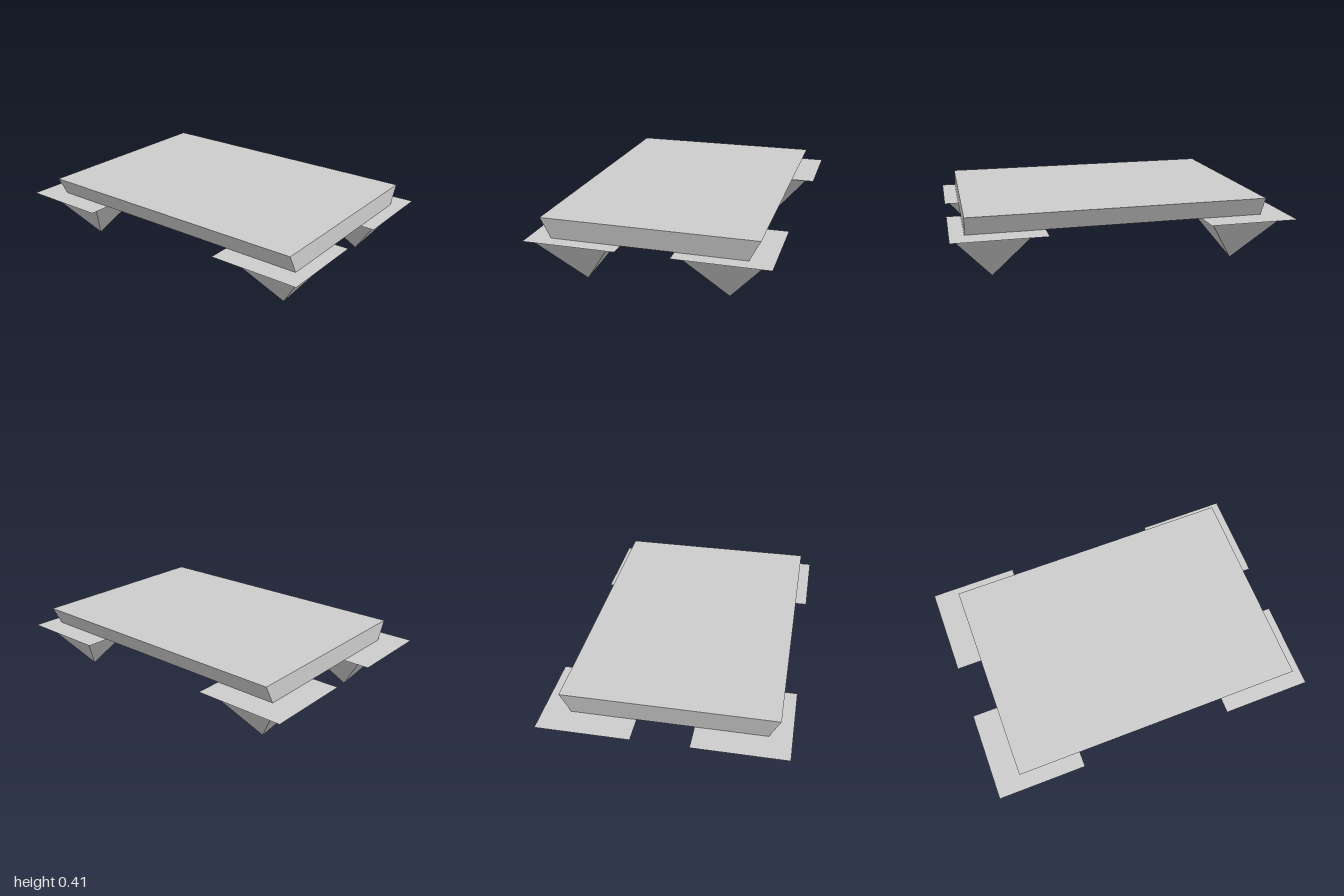
import * as THREE from 'three';

const DECK_BOTTOM = 0.295;
const DECK_TOP = 0.41;

export function createModel() {
  const model = new THREE.Group();
  const material = new THREE.MeshStandardMaterial({ color: 0xcccccc, flatShading: true });
  const thinMaterial = material.clone();
  thinMaterial.side = THREE.DoubleSide;

  // Deck: a slab whose long sides flare outward towards the top
  const profile = new THREE.Shape([
    new THREE.Vector2(-0.57, DECK_BOTTOM),
    new THREE.Vector2(0.537, DECK_BOTTOM),
    new THREE.Vector2(0.597, DECK_TOP),
    new THREE.Vector2(-0.63, DECK_TOP),
  ]);
  const deckGeometry = new THREE.ExtrudeGeometry(profile, { depth: 1.755, bevelEnabled: false });
  deckGeometry.translate(0, 0, -0.84);
  const deck = new THREE.Mesh(deckGeometry, material);
  deck.name = 'deck';
  model.add(deck);

  // Flat square mounting plate, shared by the four corners
  const plateGeometry = new THREE.PlaneGeometry(0.535, 0.535);
  plateGeometry.rotateX(-Math.PI / 2);

  // Inverted square pyramid with its tip on the ground
  const footGeometry = new THREE.ConeGeometry(0.2175 * Math.SQRT2, DECK_BOTTOM, 4);
  footGeometry.rotateY(Math.PI / 4);
  footGeometry.rotateX(Math.PI);

  // Plate and foot centres at each corner
  const corners = [
    { name: 'frontLeft', plate: [0.406, 0.732], foot: [0.407, 0.763] },
    { name: 'frontRight', plate: [-0.432, 0.732], foot: [-0.432, 0.763] },
    { name: 'backLeft', plate: [0.428, -0.732], foot: [0.43, -0.702] },
    { name: 'backRight', plate: [-0.432, -0.732], foot: [-0.432, -0.702] },
  ];
  for (const corner of corners) {
    const plate = new THREE.Mesh(plateGeometry, thinMaterial);
    plate.name = corner.name + 'Plate';
    plate.position.set(corner.plate[0], DECK_BOTTOM, corner.plate[1]);

    const foot = new THREE.Mesh(footGeometry, material);
    foot.name = corner.name + 'Foot';
    foot.position.set(corner.foot[0], DECK_BOTTOM / 2, corner.foot[1]);
    model.add(plate, foot);
  }

  return model;
}
